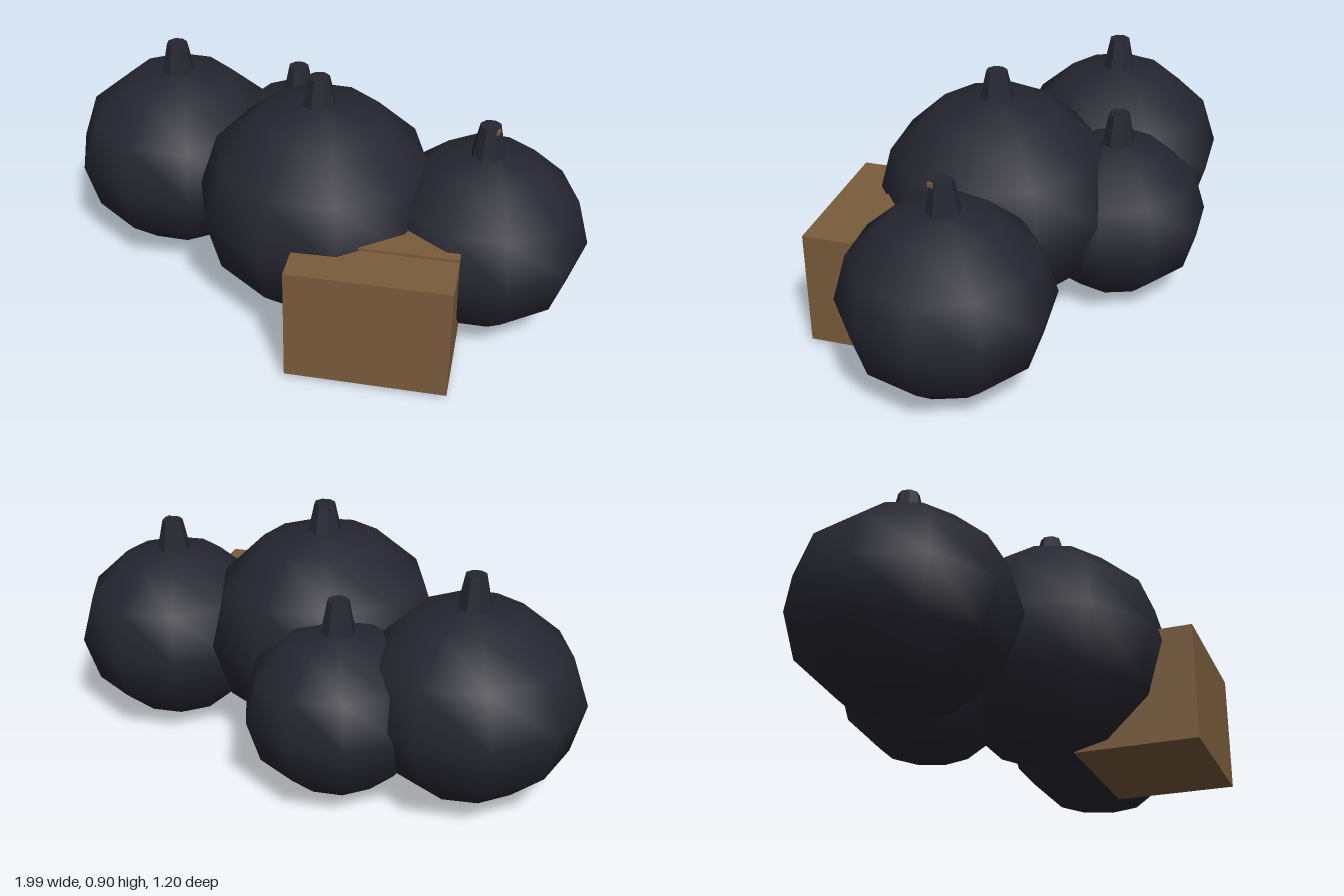
import * as THREE from 'three';

export function createModel() {
  const model = new THREE.Group();
  const skin = new THREE.MeshStandardMaterial({ color: 0x262631 });
  skin.name = 'dark skin';
  const stemMat = new THREE.MeshStandardMaterial({ color: 0x262631, flatShading: true });
  stemMat.name = 'dark stem';
  const card = new THREE.MeshStandardMaterial({ color: 0x7a5c3c });
  card.name = 'brown cardboard';

  function add(parent, name, geometry, material, x, y, z) {
    const mesh = new THREE.Mesh(geometry, material);
    mesh.name = name;
    mesh.position.set(x, y, z);
    parent.add(mesh);
    return mesh;
  }

  // Squashed low-sided gourds with a short tapered stem
  const gourds = [
    // name, x, z, radius, bottom, top, stem top, tilt
    ['frontGourd', 0.06, 0.08, 0.443, 0.006, 0.822, 0.91, -0.04],
    ['rightSideGourd', -0.615, -0.04, 0.405, 0.008, 0.728, 0.828, -0.04],
    ['leftSideGourd', 0.63, -0.1, 0.375, 0.006, 0.686, 0.784, -0.02],
    ['backGourd', -0.217, -0.267, 0.338, 0.01, 0.622, 0.724, -0.02],
  ];
  for (const [name, x, z, r, bottom, top, stemTop, tilt] of gourds) {
    const gourd = new THREE.Group();
    gourd.name = name;
    gourd.position.set(x, 0, z);
    const half = (top - bottom) / 2;
    const body = new THREE.SphereGeometry(r, 10, 6);
    body.rotateY(Math.PI / 2);
    body.scale(1, half / r, 1);
    add(gourd, 'body', body, skin, 0, bottom + half, 0).rotation.z = tilt;
    const h = stemTop - top + 0.025;
    add(gourd, 'stem', new THREE.CylinderGeometry(0.038, 0.064, h, 8), stemMat, 0, stemTop - h / 2, 0);
    model.add(gourd);
  }

  // Small chip on the side of one stem
  add(model, 'stemChip', new THREE.BoxGeometry(0.008, 0.015, 0.022), card, 0.667, 0.776, -0.08);

  // Cardboard box turned slightly, with one flap lying over the other
  const box = new THREE.Group();
  box.name = 'box';
  box.position.set(0.405, 0, 0.297);
  box.rotation.y = 0.297;
  add(box, 'boxBody', new THREE.BoxGeometry(0.565, 0.43, 0.45), card, 0, 0.24, 0);
  add(box, 'raisedFlap', new THREE.BoxGeometry(0.565, 0.012, 0.272), card, 0, 0.46, -0.089);
  model.add(box);

  return model;
}
